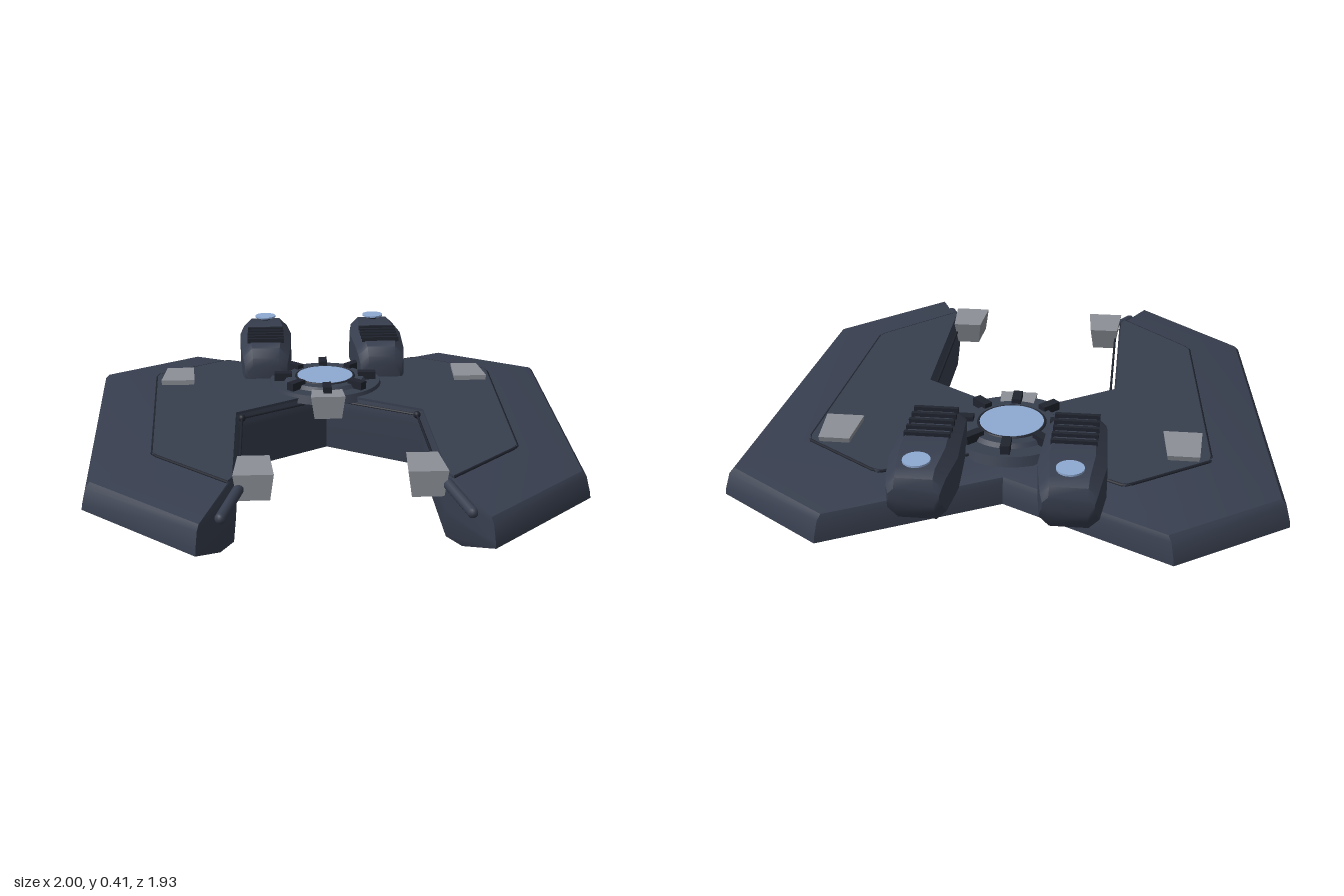
import * as THREE from 'three';
import { toCreasedNormals } from 'three/addons/utils/BufferGeometryUtils.js';

const mat = (name, color, side = THREE.FrontSide) => {
  const m = new THREE.MeshStandardMaterial({ color, side });
  m.name = name;
  return m;
};

// Skin between closed rings of Vector3, with both ends capped.
// drop names the axis ignored when triangulating the caps.
function loft(rings, drop, crease) {
  const pos = [];
  const tri = (a, b, c) => pos.push(...a.toArray(), ...b.toArray(), ...c.toArray());
  const n = rings[0].length;
  for (let r = 0; r < rings.length - 1; r++) {
    for (let i = 0; i < n; i++) {
      const j = (i + 1) % n, a = rings[r], b = rings[r + 1];
      tri(a[i], b[i], a[j]);
      tri(a[j], b[i], b[j]);
    }
  }
  const cap = (ring, sign) => {
    const flat = ring.map(p => new THREE.Vector2(p.x, drop === 'y' ? p.z : p.y));
    for (const [i, j, k] of THREE.ShapeUtils.triangulateShape(flat, [])) {
      const normal = new THREE.Triangle(ring[i], ring[j], ring[k]).getNormal(new THREE.Vector3());
      if (normal[drop] * sign > 0) tri(ring[i], ring[j], ring[k]);
      else tri(ring[i], ring[k], ring[j]);
    }
  };
  cap(rings[0], -1);
  cap(rings[rings.length - 1], 1);
  const g = new THREE.BufferGeometry();
  g.setAttribute('position', new THREE.Float32BufferAttribute(pos, 3));
  return toCreasedNormals(g, crease);
}

// Half outlines (x, z) from the rear notch round the wing to the front bay
const OUTER = [[0, -0.66], [0.6, -0.97], [1, -0.7], [0.91, 0.58], [0.49, 0.965], [0.365, 0.68], [0.365, 0], [0, -0.23]];
const BOTTOM = [[0, -0.48], [0.56, -0.78], [0.8, -0.62], [0.745, 0.5], [0.42, 0.74], [0.375, 0.66], [0.375, 0], [0, -0.235]];
const PANEL = [[0, -0.5], [0.43, -0.72], [0.73, -0.52], [0.67, 0.42], [0.39, 0.69], [0.375, 0.66], [0.375, 0], [0, -0.24]];

const mirrored = half => [...half, ...half.slice(1, -1).reverse().map(([x, z]) => [-x, z])];
const ringAt = (half, y) => mirrored(half).map(([x, z]) => new THREE.Vector3(x, y, z));
const blend = (a, b, t) => a.map(([x, z], i) => [x + (b[i][0] - x) * t, z + (b[i][1] - z) * t]);

// Straight-segment tube through points
function pipe(points, radius, sides = 6) {
  const path = new THREE.CurvePath();
  const v = points.map(p => new THREE.Vector3(...p));
  for (let i = 0; i < v.length - 1; i++) path.add(new THREE.LineCurve3(v[i], v[i + 1]));
  return new THREE.TubeGeometry(path, 60, radius, sides, false);
}

// Eight-sided pod section, clockwise seen from +z
function podSection([z, w, y0, y1, c]) {
  return [[-w + c, y1], [w - c, y1], [w, y1 - c], [w, y0 + c], [w - c, y0], [-w + c, y0], [-w, y0 + c], [-w, y1 - c]]
    .map(([x, y]) => new THREE.Vector3(x, y, z));
}

export function createModel() {
  const hullMat = mat('hull blue grey', 0x373e4e);
  const trimMat = mat('dark trim', 0x20242e, THREE.DoubleSide);
  const padMat = mat('pad grey', 0x8c9097);
  const glowMat = mat('pale blue light', 0x8ea9d2);

  const model = new THREE.Group();
  const add = (name, geometry, material, x = 0, y = 0, z = 0, parent = model) => {
    const m = new THREE.Mesh(geometry, material);
    m.name = name;
    m.position.set(x, y, z);
    parent.add(m);
    return m;
  };

  // Forked hull with chamfered rim, and the raised deck on it
  const layer = (t, y) => ringAt(blend(OUTER, PANEL, t), y);
  add('hull', loft([
    ringAt(BOTTOM, 0), layer(0, 0.1), layer(0.01, 0.12),
    layer(0.07, 0.18), layer(0.13, 0.198), layer(1, 0.236),
  ], 'y', 0.5), hullMat);
  add('deck', loft([ringAt(PANEL, 0.23), ringAt(PANEL, 0.246)], 'y', 0.5), hullMat);

  for (const s of [-1, 1]) {
    // Dark seam round the deck and thin rail along the bay
    add('deckSeam', pipe(PANEL.slice(0, 5).map(([x, z]) => [s * x, 0.241, z]), 0.006), trimMat);
    add('bayRail', pipe([[s * 0.352, 0.222, 0.66], [s * 0.352, 0.222, 0], [0, 0.222, -0.215]], 0.005), trimMat);
    add('railKnob', new THREE.SphereGeometry(0.015, 10, 8), trimMat, s * 0.352, 0.222, 0);

    // Short pipe at each prong
    const inset = s < 0 ? 0 : 0.02;
    const prong = new THREE.Vector3(s * (0.41 + inset), 0.18, 0.85);
    add('prongPipe', pipe([[s * (0.35 + inset), 0.215, 0.68], prong.toArray()], 0.02, 10), hullMat);
    add('prongPipeEnd', new THREE.SphereGeometry(0.02, 10, 8), hullMat, prong.x, prong.y, prong.z);

    // Engine pod
    const pod = new THREE.Group();
    pod.name = 'enginePod';
    pod.position.x = s * 0.252;
    model.add(pod);
    add('podBody', loft([
      [-0.97, 0.085, 0.275, 0.335, 0.02], [-0.955, 0.093, 0.24, 0.368, 0.03], [-0.92, 0.1, 0.195, 0.387, 0.035],
      [-0.78, 0.117, 0.19, 0.39, 0.04], [-0.52, 0.105, 0.19, 0.388, 0.04],
      [-0.47, 0.1, 0.2, 0.372, 0.04], [-0.44, 0.092, 0.21, 0.335, 0.035], [-0.432, 0.08, 0.22, 0.3, 0.025],
    ].map(podSection), 'z', 0.6), hullMat, 0, 0, 0, pod);
    for (let i = 0; i < 5; i++) {
      add('podRib', new THREE.BoxGeometry(0.16, 0.02, 0.016), trimMat, 0, 0.392, -0.705 + i * 0.046, pod);
    }
    add('podLightStem', new THREE.CylinderGeometry(0.02, 0.02, 0.02, 12), trimMat, 0, 0.391, -0.895, pod);
    add('podLight', new THREE.CylinderGeometry(0.047, 0.047, 0.007, 28), glowMat, 0, 0.404, -0.895, pod);
  }

  // Round hub with radial clamps and a light in the middle
  const hub = new THREE.Group();
  hub.name = 'hub';
  hub.position.z = -0.37;
  model.add(hub);
  add('hubBase', new THREE.CylinderGeometry(0.235, 0.247, 0.035, 48), hullMat, 0, 0.243, 0, hub);
  add('hubCollar', new THREE.CylinderGeometry(0.165, 0.18, 0.02, 48), hullMat, 0, 0.266, 0, hub);
  add('hubRim', new THREE.TorusGeometry(0.123, 0.007, 8, 48).rotateX(Math.PI / 2), trimMat, 0, 0.274, 0, hub);
  add('hubLight', new THREE.CylinderGeometry(0.119, 0.119, 0.008, 48), glowMat, 0, 0.277, 0, hub);
  for (let i = 0; i < 8; i++) {
    const clamp = new THREE.BoxGeometry(0.035, 0.035, 0.075).translate(0, 0, 0.18).rotateY(i * Math.PI / 4);
    add('hubClamp', clamp, trimMat, 0, 0.276, 0, hub);
  }

  // Grey pads, wider to the front and narrower underneath
  const padGeo = new THREE.BoxGeometry(1, 0.095, 0.18).toNonIndexed();
  const p = padGeo.attributes.position;
  for (let i = 0; i < p.count; i++) {
    const front = p.getZ(i) > 0, top = p.getY(i) > 0;
    p.setX(i, p.getX(i) * (front ? 0.142 : 0.115) * (top ? 1 : 0.8));
    if (!top && !front) p.setZ(i, p.getZ(i) * 0.7);
  }
  padGeo.computeVertexNormals();
  for (const [x, z] of [[0.302, 0.605], [-0.302, 0.605], [0.63, -0.455], [-0.63, -0.455], [0, -0.2]]) {
    add('pad', padGeo, padMat, x, 0.219, z);
  }
  return model;
}
